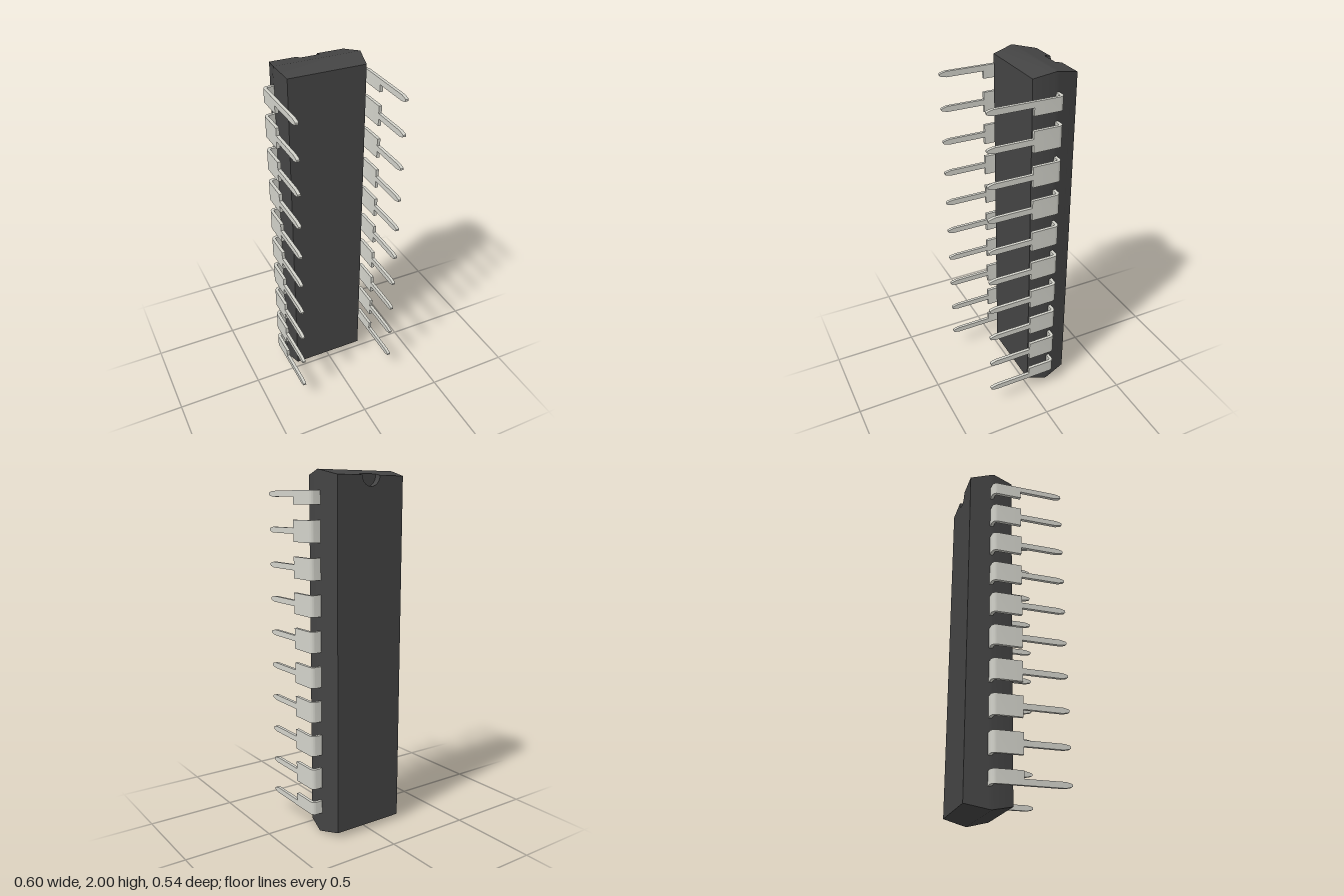
import * as THREE from 'three';
import { toCreasedNormals } from 'three/addons/utils/BufferGeometryUtils.js';

// Skin a row of equal-length loops (counter-clockwise seen from +z), with flat caps.
function loft(loops, capStart, capEnd) {
  const pos = [];
  const tri = (a, b, c) => pos.push(...a, ...b, ...c);
  for (let k = 0; k < loops.length - 1; k++) {
    const a = loops[k], b = loops[k + 1];
    for (let i = 0; i < a.length; i++) {
      const j = (i + 1) % a.length;
      tri(a[i], a[j], b[j]);
      tri(a[i], b[j], b[i]);
    }
  }
  const cap = (loop, flip) => {
    const flat = loop.map(([x, y]) => new THREE.Vector2(x, y));
    for (const [i, j, k] of THREE.ShapeUtils.triangulateShape(flat, [])) {
      if (flip) tri(loop[i], loop[k], loop[j]);
      else tri(loop[i], loop[j], loop[k]);
    }
  };
  if (capStart) cap(loops[0], true);
  if (capEnd) cap(loops[loops.length - 1], false);
  const geo = new THREE.BufferGeometry();
  geo.setAttribute('position', new THREE.Float32BufferAttribute(pos, 3));
  return toCreasedNormals(geo, 0.5);
}

// Rectangular body section at depth z, optionally with the half-round notch in its top edge.
function section([z, halfWidth, inset], notch = false) {
  const top = 2 - inset, r = 0.057, steps = 20;
  const pts = [[-halfWidth, inset, z], [halfWidth, inset, z], [halfWidth, top, z]];
  if (notch) {
    for (let i = 0; i <= steps; i++) {
      const t = (Math.PI * i) / steps;
      const y = i % steps === 0 ? top : 1.97 - r * Math.sin(t);
      pts.push([r * Math.cos(t), y, z]);
    }
  }
  pts.push([-halfWidth, top, z]);
  return pts;
}

// Bent pin: a wide shoulder, then a narrow leg with a tapered tip.
function pinGeometry(low, high) {
  const narrow = 0.016;
  const loops = [];
  const station = (xo, zo, xi, zi, lo, hi) =>
    loops.push([[xo, lo, zo], [xo, hi, zo], [xi, hi, zi], [xi, lo, zi]]);
  const leg = (z, lo, hi) => station(0.301, z, 0.283, z, lo, hi);

  station(0.2, -0.152, 0.2, -0.134, -low, high);
  for (let i = 0; i <= 8; i++) {
    const t = (Math.PI / 2) * (i / 8), s = Math.sin(t), c = Math.cos(t);
    station(0.274 + 0.027 * s, -0.125 - 0.027 * c, 0.274 + 0.009 * s, -0.125 - 0.009 * c, -low, high);
  }
  leg(0.016, -low, high);
  leg(0.016, -narrow, narrow);
  leg(0.232, -narrow, narrow);
  leg(0.262, -0.009, 0.009);
  leg(0.268, -0.005, 0.005);
  return loft(loops, false, true);
}

export function createModel() {
  const model = new THREE.Group();
  model.name = 'chipPackage';
  const plastic = new THREE.MeshStandardMaterial({ color: 0x444444 });
  const metal = new THREE.MeshStandardMaterial({ color: 0xd2d2ca });

  const add = (parent, name, geo, mat) => {
    const mesh = new THREE.Mesh(geo, mat);
    mesh.name = name;
    parent.add(mesh);
    return mesh;
  };

  // Body sections: depth, half width, inset at both ends
  const back = [-0.268, 0.212, 0.03];
  const notchFloor = [-0.23, 0.2207, 0.0216];
  const seamBack = [-0.152, 0.239, 0.004];
  const seamFront = [-0.132, 0.242, 0];
  const front = [-0.015, 0.218, 0.026];

  const body = new THREE.Group();
  body.name = 'body';
  model.add(body);
  add(body, 'notchedBack', loft([section(back, true), section(notchFloor, true)], true, false), plastic);
  add(body, 'mainBody',
    loft([notchFloor, seamBack, seamFront, front].map((s) => section(s)), true, true), plastic);

  // Ten pins per side; the end pins have a half-width shoulder
  const count = 10, pitch = 0.1942, wide = 0.058, cut = 0.016;
  const fullPin = pinGeometry(wide, wide);
  const topPin = pinGeometry(wide, cut);
  const bottomPin = pinGeometry(cut, wide);

  for (const side of ['left', 'right']) {
    const row = new THREE.Group();
    row.name = side + 'Pins';
    row.position.y = 1.005;
    if (side === 'right') row.rotation.z = Math.PI;
    for (let i = 0; i < count; i++) {
      const geo = i === 0 ? bottomPin : i === count - 1 ? topPin : fullPin;
      add(row, 'pin', geo, metal).position.y = (i - (count - 1) / 2) * pitch;
    }
    model.add(row);
  }
  return model;
}
